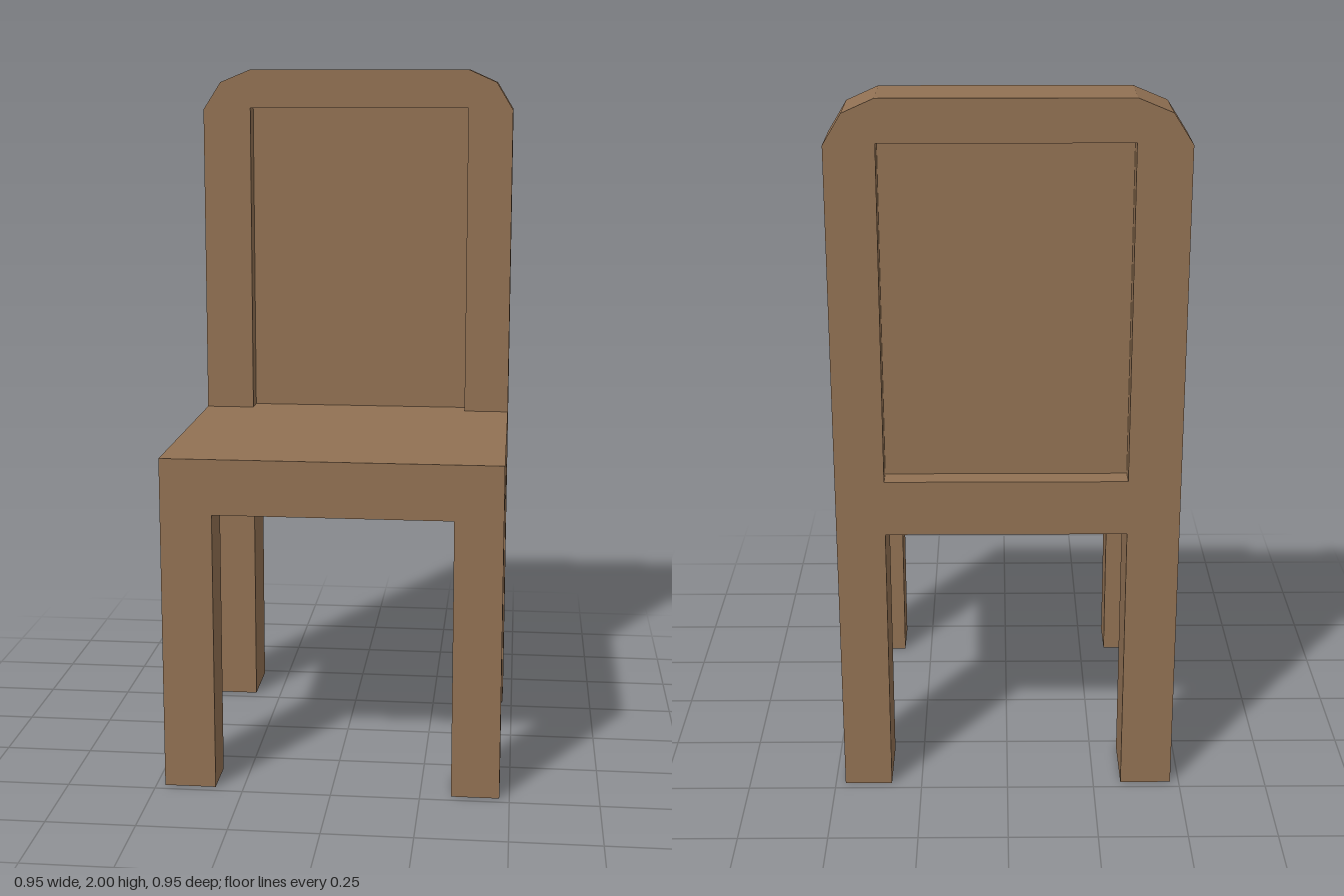
import * as THREE from 'three';

export function createModel() {
  const chair = new THREE.Group();
  chair.name = 'chair';
  const wood = new THREE.MeshStandardMaterial({ color: 0x917153 });
  wood.name = 'brown wood';

  // Shared measurements
  const left = 0.472, right = -0.475;          // outer sides
  const innerLeft = 0.337, innerRight = -0.33; // inner sides of legs and posts
  const front = 0.475, back = -0.475, backFront = -0.287;
  const seatBottom = 0.795, seatTop = 0.952, panelTop = 1.885;

  function add(name, geometry) {
    const mesh = new THREE.Mesh(geometry, wood);
    mesh.name = name;
    chair.add(mesh);
    return mesh;
  }

  // Box given by its limits on each axis
  function box(name, x0, x1, y0, y1, z0, z1) {
    const mesh = add(name, new THREE.BoxGeometry(x1 - x0, y1 - y0, z1 - z0));
    mesh.position.set((x0 + x1) / 2, (y0 + y1) / 2, (z0 + z1) / 2);
  }

  const points = (list) => list.map(([x, y]) => new THREE.Vector2(x, y));

  // Back frame and rear legs in one piece, with chamfered top corners
  const outline = new THREE.Shape(points([
    [right, 0], [innerRight, 0], [innerRight, seatBottom],
    [innerLeft, seatBottom], [innerLeft, 0], [left, 0],
    [left, 1.88], [0.422, 1.962], [innerLeft, 2],
    [innerRight, 2], [-0.422, 1.962], [right, 1.88],
  ]));
  outline.holes.push(new THREE.Path(points([
    [innerRight, seatTop], [innerRight, panelTop],
    [innerLeft, panelTop], [innerLeft, seatTop],
  ])));
  const frame = add('backFrame', new THREE.ExtrudeGeometry(outline, {
    depth: backFront - back, bevelEnabled: false,
  }));
  frame.position.z = back;

  // Panel recessed on both sides of the frame
  box('backPanel', innerRight, innerLeft, seatTop, panelTop, -0.415, -0.347);

  // Seat and front legs
  box('seat', right, left, seatBottom, seatTop, backFront, front);
  box('rightFrontLeg', right, innerRight, 0, seatBottom, 0.342, front);
  box('leftFrontLeg', innerLeft, left, 0, seatBottom, 0.342, front);

  return chair;
}
